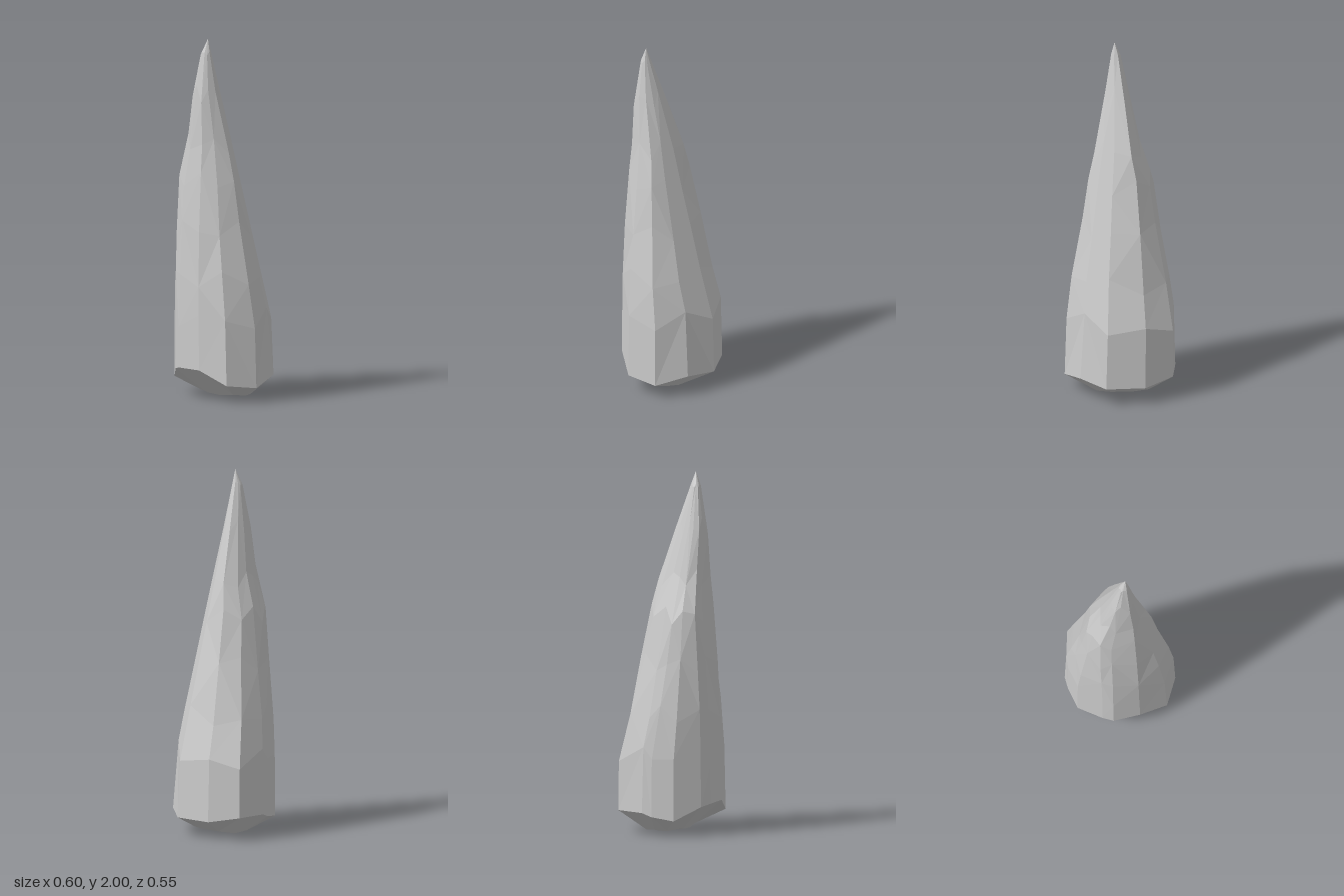
import * as THREE from 'three';

// Outline near the foot and near the tip, as fractions of the width and depth at that height
const LOW = [[-.3, -1], [.42, -.92], [.82, -.44], [1, .2], [.75, .77], [.22, .97],
  [-.28, 1], [-.47, .88], [-.87, .48], [-.98, .04], [-1, -.16], [-.85, -.77]];
const HIGH = [[-.33, -1], [.5, -.8], [.8, -.3], [1, .15], [.75, .65], [.35, 1],
  [-.4, .95], [-.75, .85], [-.95, .5], [-1, .2], [-.95, -.15], [-.75, -.6]];

// Height of the lower rim at each corner
const RIM = [.1, .1, .12, .08, .1, .175, .175, .16, .09, .11, .13, .13];

// Extents by height: y, min x, max x, min z, max z
const EXTENT = [
  [.05, -.3, .3, -.275, .272],
  [.4, -.3, .29, -.27, .27],
  [.5, -.292, .278, -.262, .268],
  [.65, -.275, .258, -.215, .265],
  [.95, -.23, .2, -.16, .25],
  [1.22, -.2, .16, -.105, .23],
  [1.42, -.13, .115, -.06, .21],
  [1.7, -.075, .06, .035, .2],
  [1.92, -.03, .025, .11, .165],
  [2, .005, .005, .135, .135],
];
// Large flat break running down the back right from the tip
const BREAK = new THREE.Plane().setFromCoplanarPoints(
  new THREE.Vector3(.005, 2, .135), new THREE.Vector3(.19, .93, 0), new THREE.Vector3(.07, .65, -.22));
const lerp = THREE.MathUtils.lerp;

// Corner i of the spike at height y
function corner(i, y) {
  let k = 0;
  while (k < EXTENT.length - 2 && y > EXTENT[k + 1][0]) k++;
  const a = EXTENT[k], b = EXTENT[k + 1];
  const t = (y - a[0]) / (b[0] - a[0]);
  const [, x0, x1, z0, z1] = a.map((v, j) => lerp(v, b[j], t));
  const m = THREE.MathUtils.smoothstep(y, .4, 1.4);
  const u = lerp(LOW[i][0], HIGH[i][0], m), w = lerp(LOW[i][1], HIGH[i][1], m);
  const p = new THREE.Vector3(lerp(x0, x1, (u + 1) / 2), y, lerp(z0, z1, (w + 1) / 2));
  // Move corners outside the break straight in onto it
  const n = BREAK.normal;
  const excess = Math.max(0, BREAK.distanceToPoint(p)) / (n.x * n.x + n.z * n.z);
  p.x -= n.x * excess;
  p.z -= n.z * excess;
  return p;
}

function spikeGeometry() {
  const ring = (f) => LOW.map((_, i) => f(i));
  const rings = [
    // Underside: lowest point and a small facetted foot
    ring(() => new THREE.Vector3(0, 0, -.01)),
    ring((i) => new THREE.Vector3(LOW[i][0] * .17, .018 + .004 * Math.sin(i * 2.1), LOW[i][1] * .1 - .015)),
    ring((i) => corner(i, RIM[i])),
  ];
  // Shaft: staggered heights give irregular chipped facets
  for (const y of [.45, .68, .95, 1.22, 1.42, 1.7, 1.92]) {
    const stagger = y > 1.8 ? .01 : .05;
    rings.push(ring((i) => corner(i, y + stagger * Math.sin(i * 2.4 + y * 7))));
  }
  rings.push(ring((i) => corner(i, 2)));

  const pos = [];
  const tri = (a, b, c) => {
    if (a.equals(b) || b.equals(c) || a.equals(c)) return;
    for (const p of [a, b, c]) pos.push(p.x, p.y, p.z);
  };
  for (let r = 0; r < rings.length - 1; r++) {
    for (let i = 0; i < LOW.length; i++) {
      const j = (i + 1) % LOW.length;
      const a = rings[r][i], b = rings[r + 1][i], c = rings[r + 1][j], d = rings[r][j];
      if ((i + r) % 2) { tri(a, b, c); tri(a, c, d); }
      else { tri(a, b, d); tri(b, c, d); }
    }
  }
  const geo = new THREE.BufferGeometry();
  geo.setAttribute('position', new THREE.Float32BufferAttribute(pos, 3));
  geo.computeVertexNormals();
  return geo;
}

export function createModel() {
  const group = new THREE.Group();
  group.name = 'rockSpike';
  const stone = new THREE.MeshStandardMaterial({ color: 0xcccccc, flatShading: true });
  const spike = new THREE.Mesh(spikeGeometry(), stone);
  spike.name = 'spike';
  group.add(spike);
  return group;
}
